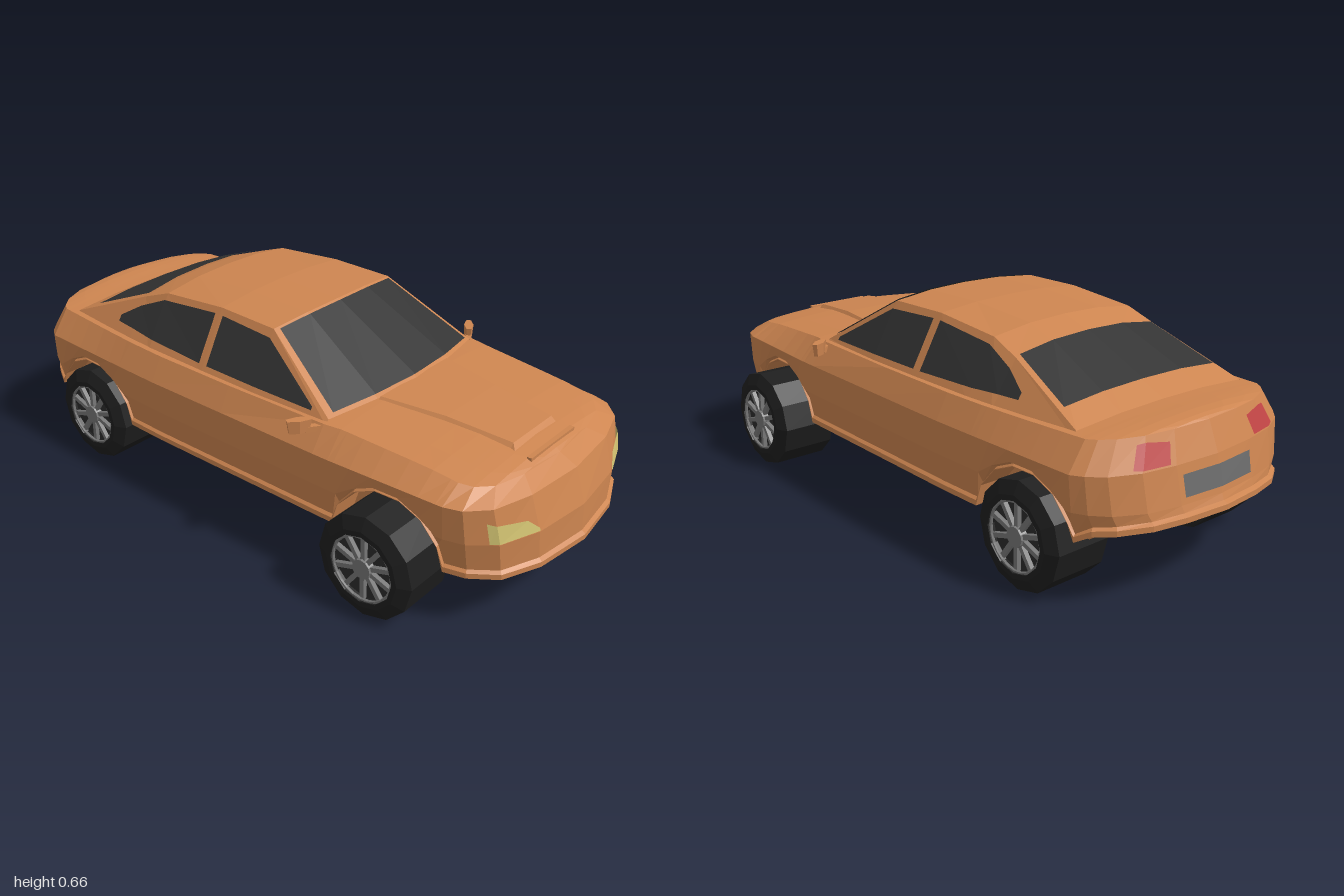
import * as THREE from 'three';

const mat = (color) => new THREE.MeshStandardMaterial({ color, flatShading: true, side: THREE.DoubleSide });
const paint = mat(0xcd8550), glass = mat(0x333333), rubber = mat(0x1e1e1e), metal = mat(0x777777);
const lampYellow = mat(0xcfc070), lampRed = mat(0xc04444), plateGrey = mat(0x6a6a6a), rimDark = mat(0x2c2c2c);

const lerp = THREE.MathUtils.lerp;
const lerp3 = (a, b, t) => a.map((v, k) => lerp(v, b[k], t));
// Piecewise linear lookup in [key, value] pairs with falling keys
function curve(pairs, z) {
  if (z >= pairs[0][0]) return pairs[0][1];
  for (let i = 1; i < pairs.length; i++) {
    const [z0, v0] = pairs[i - 1], [z1, v1] = pairs[i];
    if (z >= z1) return lerp(v0, v1, (z0 - z) / (z0 - z1));
  }
  return pairs[pairs.length - 1][1];
}

// Surface through rows of points
function grid(name, rows, material) {
  const pos = [];
  for (let r = 0; r + 1 < rows.length; r++) {
    for (let c = 0; c + 1 < rows[r].length; c++) {
      const a = rows[r][c], b = rows[r][c + 1], d = rows[r + 1][c], e = rows[r + 1][c + 1];
      pos.push(...a, ...b, ...e, ...a, ...e, ...d);
    }
  }
  const g = new THREE.BufferGeometry();
  g.setAttribute('position', new THREE.Float32BufferAttribute(pos, 3));
  g.computeVertexNormals();
  const m = new THREE.Mesh(g, material);
  m.name = name;
  return m;
}
const flip = ([x, y, z]) => [-x, y, z];
const mirrorRows = (rows) => rows.map((r) => r.map(flip).reverse());

// Plan outline of one side, nose to tail: [width fraction, z]
const AXLES = [0.6, -0.63], ARCH = 0.187;
const archSteps = [0.186, 0.165, 0.11, 0.04, -0.04, -0.11, -0.165, -0.186];
const outline = [
  [0, 1], [0.48, 0.975], [0.78, 0.925], [0.92, 0.85],
  ...archSteps.map((d) => [0.98 - d * 0.1, AXLES[0] + d]),
  [1, 0.36], [1, 0], [1, -0.3],
  ...archSteps.map((d) => [0.97 + d * 0.1, AXLES[1] + d]),
  [0.9, -0.86], [0.8, -0.91], [0.6, -0.96], [0.35, -0.985], [0, -1],
];
const N = outline.length;
const sill = (z) => curve([[-0.8, 0.18], [-0.83, 0.225], [-1, 0.25]], z);
const archY = (z) => Math.max(sill(z), ...AXLES.map((c) =>
  Math.abs(z - c) < ARCH ? 0.16 + Math.sqrt(ARCH ** 2 - (z - c) ** 2) : 0));
const beltY = (z) => curve([[0.9, 0.42], [0.7, 0.447], [0.4, 0.468], [-0.6, 0.472], [-0.8, 0.475], [-0.92, 0.48]], z);
const beltX = (z) => curve([[0.85, 0.345], [0.42, 0.36], [0.3, 0.38], [-0.4, 0.38], [-0.8, 0.36]], z);

// Horizontal levels of the body: half width, nose z, tail z, height
const levels = [
  { x: () => 0.4, f: 1, b: 1, y: archY },
  { x: () => 0.4, f: 1, b: 1, y: (z) => Math.max(sill(z) + 0.016, archY(z) + 0.002) },
  { x: () => 0.392, f: 0.988, b: 0.985, y: (z) => Math.max(sill(z) + 0.024, archY(z) + 0.008) },
  { x: () => 0.41, f: 0.985, b: 0.978, y: (z) => Math.max(0.29, archY(z) + 0.016) },
  { x: () => 0.42, f: 0.95, b: 0.955, y: () => 0.395 },
  { x: beltX, f: 0.895, b: 0.92, y: beltY },
];
function ringPoint(level, i) {
  const [fx, z0] = outline[i], end = z0 > 0 ? level.f : level.b, a = Math.abs(z0);
  const z = a > 0.8 ? Math.sign(z0) * (0.8 + ((a - 0.8) / 0.2) * (end - 0.8)) : z0;
  return [fx * level.x(z0), level.y(z), z];
}
const ring = (level) => outline.map((_, i) => ringPoint(level, i));

// Point just outside the body wall at outline position u and height y
function wallPoint(u, y) {
  const i = Math.min(Math.floor(u), N - 2);
  const pts = levels.map((l) => lerp3(ringPoint(l, i), ringPoint(l, i + 1), u - i));
  let k = 0;
  while (k < pts.length - 2 && pts[k + 1][1] < y) k++;
  const [x, , z] = lerp3(pts[k], pts[k + 1], (y - pts[k][1]) / (pts[k + 1][1] - pts[k][1]));
  return [x * 1.012, y, z + Math.sign(z) * 0.005];
}
// Mirrored pair of panels on the wall from columns [u, low, high]
function wallPanels(group, name, cols, material) {
  const rows = [1, 2].map((k) => cols.map((c) => wallPoint(c[0], c[k])));
  group.add(grid(name + 'Left', rows, material), grid(name + 'Right', mirrorRows(rows), material));
}

// Cabin stations: z, edge height, edge x, centre height, bow, base x
const stations = [
  [0.41, 0.474, 0.35, 0.485, 0.05, 0.362],
  [0.1, 0.642, 0.272, 0.656, 0.015, 0.372],
  [-0.13, 0.647, 0.268, 0.662, 0, 0.372],
  [-0.37, 0.628, 0.268, 0.649, 0, 0.368],
  [-0.47, 0.592, 0.275, 0.617, 0, 0.362],
  [-0.76, 0.478, 0.325, 0.492, 0, 0.335],
];
function station(s) {
  const i = Math.min(Math.floor(s), stations.length - 2);
  return lerp3(stations[i], stations[i + 1], s - i);
}
function roofPoint(s, f, lift = 0) {
  const [z, ye, x, yc, bow] = station(s);
  const crown = Math.abs(f) < 0.5 ? 1 - Math.abs(f) * 0.4 : 1.6 * (1 - Math.abs(f));
  return [f * x, lerp(ye, yc, crown) + lift, z - bow * f * f];
}
function cabinSide(s, y, out = 0) {
  const [z, ye, x, , bow, xb] = station(s);
  return [lerp(xb, x, (y - 0.46) / (ye - 0.46)) + out, y, z - bow];
}

function buildBody(g) {
  // Side walls, nose and tail
  g.add(grid('bodyWalls', levels.map((l) => {
    const half = ring(l);
    return [...half, ...half.slice(0, -1).reverse().map(flip)];
  }), paint));
  // Hood and rear deck
  const across = [-1, -0.75, -0.4, 0, 0.4, 0.75, 1];
  g.add(grid('hoodAndDeck', ring(levels[5]).map(([x, y, z]) =>
    across.map((f) => [x * f, y + 0.016 * (1 - f * f) * Math.min(1, x / 0.3), z])), paint));
  // Underside with wheel wells
  g.add(grid('underside', ring(levels[0]).map(([x, y, z]) => {
    const xi = Math.min(0.3, x), yb = sill(z);
    const half = [[x, y, z], [xi, y, z], [xi, yb, z]];
    return [...half, ...half.map(flip).reverse()];
  }), paint));
  // Raised scoop on the hood
  const scoop = [[0.83, 0.105, 0.434, 0.434], [0.805, 0.1, 0.437, 0.459], [0.6, 0.125, 0.455, 0.478], [0.4, 0.165, 0.465, 0.487]];
  g.add(grid('hoodScoop', scoop.map(([z, x, lo, hi]) =>
    [[-x - 0.02, lo, z], [-x, hi, z], [x, hi, z], [x + 0.02, lo, z]]), paint));
  const lip = new THREE.Mesh(new THREE.BoxGeometry(0.23, 0.012, 0.015), paint);
  lip.position.set(0, 0.436, 0.865);
  lip.name = 'scoopLip';
  g.add(lip);
  // Lamps and number plate
  wallPanels(g, 'headlight', [[1, 0.296, 0.305], [1.25, 0.296, 0.335], [2, 0.296, 0.35], [2.3, 0.296, 0.358]], lampYellow);
  wallPanels(g, 'tailLight', [[N - 3.3, 0.405, 0.462], [N - 3, 0.402, 0.465], [N - 2.2, 0.402, 0.455]], lampRed);
  wallPanels(g, 'numberPlate', [[N - 1.9, 0.31, 0.37], [N - 1, 0.31, 0.37]], plateGrey);
}

function buildCabin(g) {
  const f = [-1, -0.5, 0, 0.5, 1];
  g.add(grid('cabin', stations.map((_, s) => {
    const base = cabinSide(s, 0.46);
    return [flip(base), ...f.map((v) => roofPoint(s, v)), base];
  }), paint));
  const pane = (name, ss, edge) => g.add(grid(name, ss.map((s) =>
    [-edge, -0.5, 0, 0.5, edge].map((v) => roofPoint(s, v, 0.006))), glass));
  pane('windshield', [0.03, 0.96], 0.94);
  pane('rearWindow', [4, 4.74], 0.95);
  // Side windows: columns [station, low, high]
  const windows = {
    frontSideWindow: [[0.22, 0.484, 0.493], [1, 0.488, 0.62], [1.92, 0.49, 0.63]],
    rearSideWindow: [[2.06, 0.49, 0.63], [3, 0.497, 0.61], [4, 0.502, 0.567], [4.26, 0.504, 0.522]],
  };
  for (const [name, cols] of Object.entries(windows)) {
    const rows = cols.map(([s, lo, hi]) => [cabinSide(s, hi, 0.006), cabinSide(s, lo, 0.006)]);
    g.add(grid(name + 'Left', rows, glass), grid(name + 'Right', mirrorRows(rows), glass));
  }
}

// Wheel with its outer face at x = 0, facing +x
function buildWheel(name) {
  const g = new THREE.Group();
  g.name = name;
  const add = (geo, material, part, x) => {
    const m = new THREE.Mesh(geo, material);
    m.rotation.z = -Math.PI / 2;
    m.position.x = x;
    m.name = part;
    g.add(m);
    return m;
  };
  const profile = [[0, -0.195], [0.16, -0.195], [0.16, -0.018], [0.122, 0], [0.106, 0], [0.104, -0.03]];
  add(new THREE.LatheGeometry(profile.map((p) => new THREE.Vector2(...p)), 12), rubber, 'tyre', 0);
  add(new THREE.CylinderGeometry(0.106, 0.106, 0.01, 24), rimDark, 'rimDisc', -0.028);
  add(new THREE.CylinderGeometry(0.03, 0.034, 0.022, 12), metal, 'hub', -0.014);
  const ringMesh = new THREE.Mesh(new THREE.TorusGeometry(0.101, 0.005, 6, 24), metal);
  ringMesh.rotation.y = Math.PI / 2;
  ringMesh.position.x = -0.008;
  ringMesh.name = 'rimRing';
  g.add(ringMesh);
  for (let i = 0; i < 10; i++) {
    const spoke = new THREE.Mesh(new THREE.BoxGeometry(0.014, 0.08, 0.014).translate(0, 0.062, 0), metal);
    spoke.rotation.x = (i / 10) * Math.PI * 2;
    spoke.position.x = -0.016;
    spoke.name = 'spoke';
    g.add(spoke);
  }
  return g;
}

export function createModel() {
  const car = new THREE.Group();
  car.name = 'car';
  buildBody(car);
  buildCabin(car);
  for (const side of [1, -1]) {
    const label = side > 0 ? 'Left' : 'Right';
    AXLES.forEach((z, i) => {
      const wheel = buildWheel((i ? 'rearWheel' : 'frontWheel') + label);
      wheel.position.set(side * (i ? 0.42 : 0.5), 0.16, z);
      if (side < 0) wheel.rotation.y = Math.PI;
      car.add(wheel);
    });
    // Door mirror on a short arm
    const mirror = new THREE.Group();
    mirror.name = 'doorMirror' + label;
    const shell = new THREE.Mesh(new THREE.CylinderGeometry(0.034, 0.028, 0.04, 6).scale(1.2, 1, 0.45), paint);
    shell.position.set(0.06, 0.008, 0);
    const arm = new THREE.Mesh(new THREE.BoxGeometry(0.06, 0.018, 0.018), paint);
    arm.position.set(0.012, -0.005, 0);
    mirror.add(shell, arm);
    mirror.position.set(side * 0.37, 0.458, 0.345);
    mirror.rotation.y = side > 0 ? 0.6 : Math.PI - 0.6;
    car.add(mirror);
  }
  return car;
}
